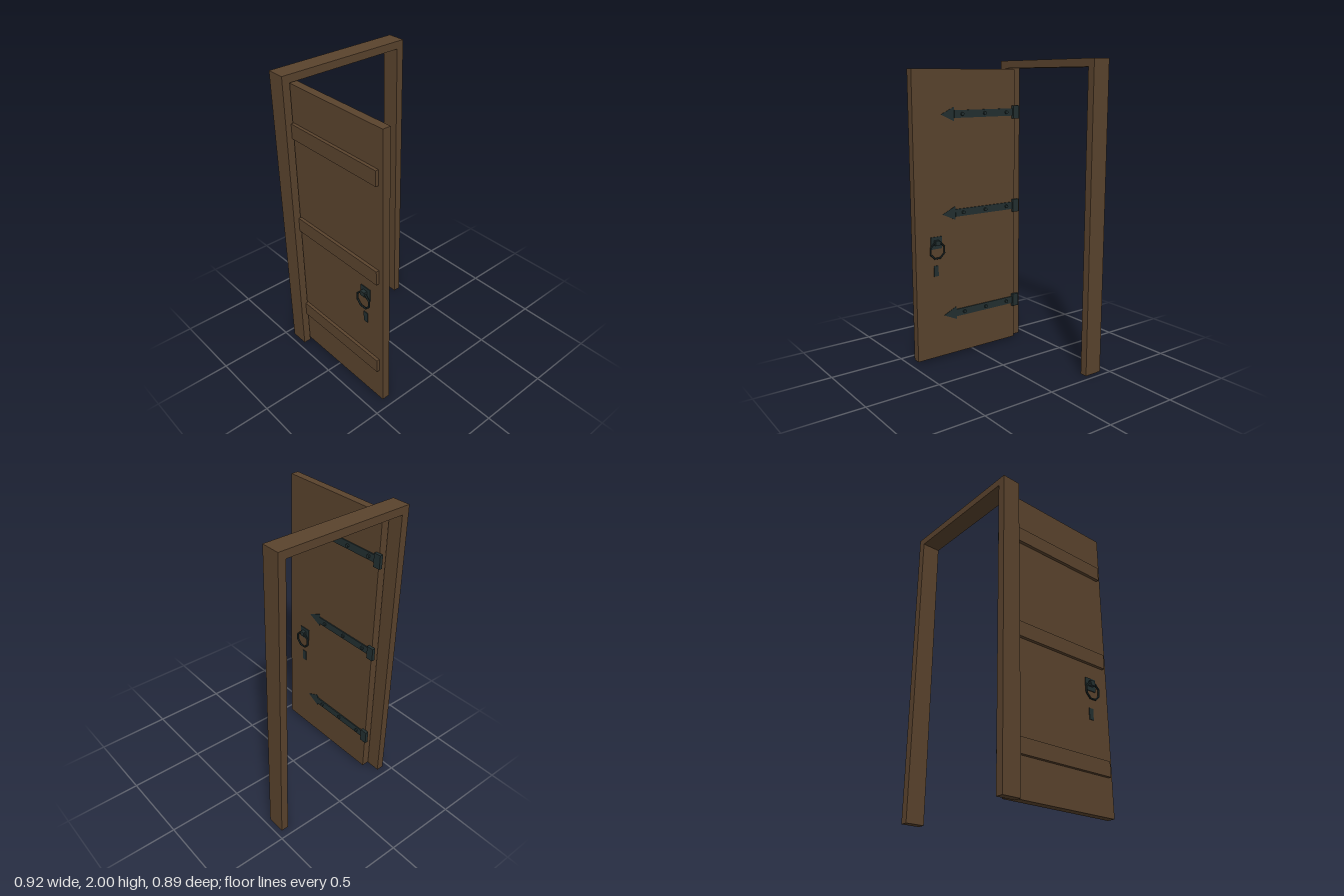
import * as THREE from 'three';

const wood = new THREE.MeshStandardMaterial({ name: 'darkWood', color: 0x5a432d, flatShading: true });
const iron = new THREE.MeshStandardMaterial({ name: 'blackIron', color: 0x222f30, flatShading: true });

// Box given by its extents on each axis
function slab(name, material, [x0, x1], [y0, y1], [z0, z1]) {
  const mesh = new THREE.Mesh(new THREE.BoxGeometry(x1 - x0, y1 - y0, z1 - z0), material);
  mesh.position.set((x0 + x1) / 2, (y0 + y1) / 2, (z0 + z1) / 2);
  mesh.name = name;
  return mesh;
}

// Upside-down U of two posts and a lintel
function createFrame() {
  const outline = [[-0.46, 0], [-0.41, 0], [-0.41, 1.95], [0.41, 1.95], [0.41, 0], [0.46, 0], [0.46, 2], [-0.46, 2]];
  const shape = new THREE.Shape(outline.map(([x, y]) => new THREE.Vector2(x, y)));
  const frame = new THREE.Mesh(new THREE.ExtrudeGeometry(shape, { depth: 0.123, bevelEnabled: false }), wood);
  frame.position.z = -0.448;
  frame.name = 'doorFrame';
  return frame;
}

// Strap hinge with arrowhead, studs and knuckle, centred on height y
function createHinge(y) {
  const hinge = new THREE.Group();
  hinge.name = 'strapHinge';
  hinge.add(slab('strap', iron, [-0.352, -0.342], [y - 0.025, y + 0.025], [-0.36, 0.14]));
  hinge.add(slab('knuckle', iron, [-0.352, -0.33], [y - 0.045, y + 0.045], [-0.383, -0.333]));

  const tip = new THREE.Shape([[-0.14, -0.046], [-0.14, 0.046], [-0.24, 0]].map(([a, b]) => new THREE.Vector2(a, b)));
  const head = new THREE.Mesh(new THREE.ExtrudeGeometry(tip, { depth: 0.005, bevelEnabled: false }), iron);
  head.rotation.y = Math.PI / 2;
  head.position.set(-0.352, y, 0);
  head.name = 'arrowhead';
  hinge.add(head);

  for (const z of [-0.28, -0.1, 0.08]) {
    const stud = new THREE.Mesh(new THREE.CylinderGeometry(0.012, 0.012, 0.016, 8), iron);
    stud.rotation.z = -Math.PI / 2;
    stud.position.set(-0.339, y, z);
    stud.name = 'stud';
    hinge.add(stud);
  }
  return hinge;
}

// Ring pull and keyhole plate, with x = 0 at the door's centre plane
function createHandle() {
  const handle = new THREE.Group();
  handle.name = 'ringHandle';
  handle.add(slab('backPlate', iron, [0.025, 0.032], [0.775, 0.857], [0.251, 0.335]));
  handle.add(slab('ringHolder', iron, [0.03, 0.056], [0.803, 0.835], [0.278, 0.312]));
  handle.add(slab('keyholePlate', iron, [0.025, 0.031], [0.587, 0.66], [0.279, 0.313]));
  const ring = new THREE.Mesh(new THREE.TorusGeometry(0.057, 0.0065, 6, 8), iron);
  ring.rotation.set(0, Math.PI / 2, Math.PI / 8);
  ring.position.set(0.048, 0.768, 0.295);
  ring.name = 'pullRing';
  handle.add(ring);
  return handle;
}

export function createModel() {
  const model = new THREE.Group();
  model.name = 'openDoor';
  model.add(createFrame());
  model.add(slab('doorPanel', wood, [-0.403, -0.35], [0.013, 1.943], [-0.358, 0.447]));

  // Battens across the back, each in line with a hinge
  for (const y of [0.3, 1.0, 1.655]) {
    model.add(slab('batten', wood, [-0.424, -0.402], [y - 0.048, y + 0.048], [-0.324, 0.415]));
    model.add(createHinge(y));
  }

  // One handle on each side of the door
  for (const turn of [0, 1]) {
    const handle = createHandle();
    if (turn) {
      handle.rotation.y = Math.PI;
      handle.position.z = 2 * 0.295;
    }
    handle.position.x = -0.3765;
    model.add(handle);
  }
  return model;
}
